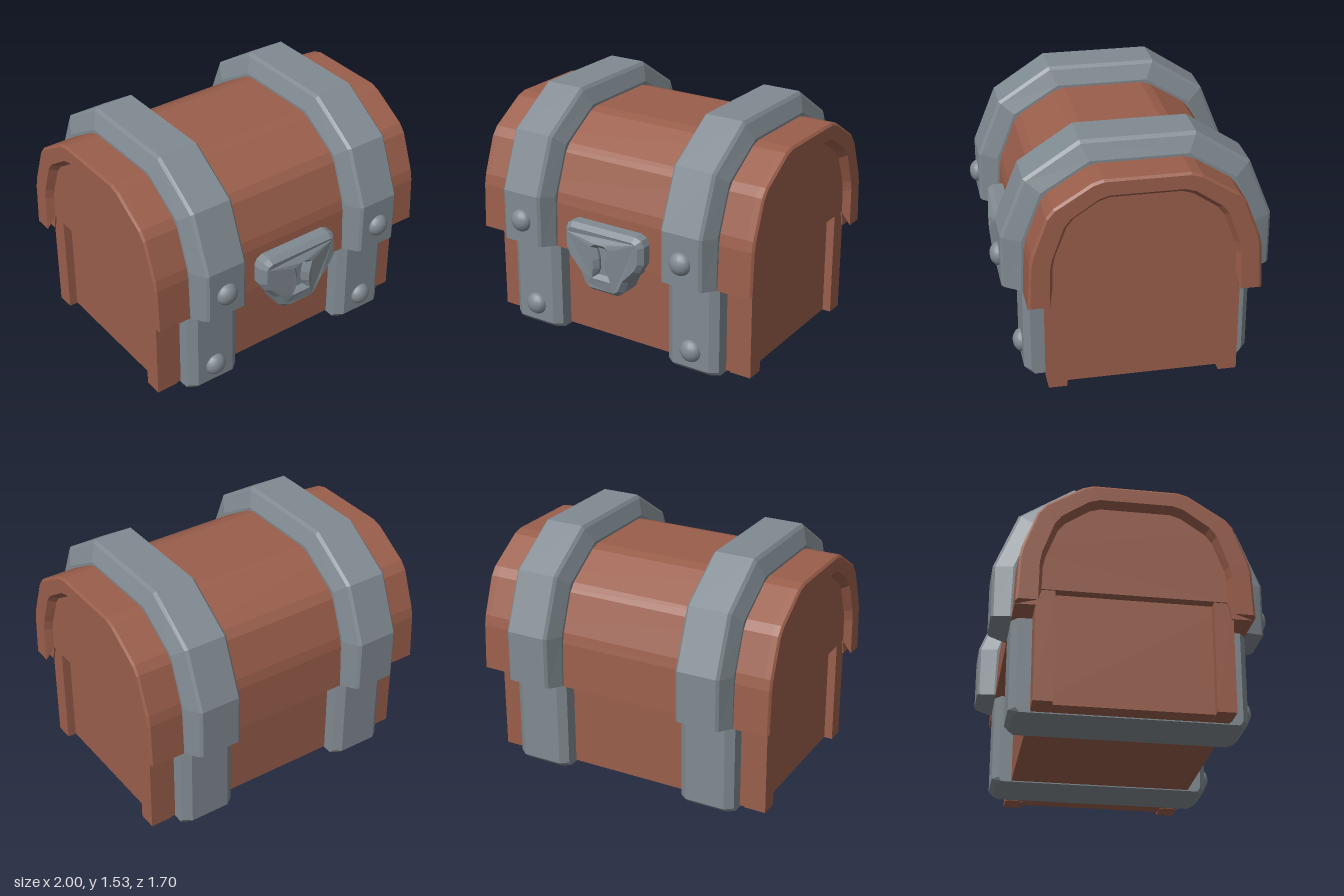
import * as THREE from 'three';

const wood = new THREE.MeshStandardMaterial({ color: 0x9a5e4b });
wood.name = 'wood';
const iron = new THREE.MeshStandardMaterial({ color: 0x808a91 });
iron.name = 'iron';

const MID = -0.025; // the chest sits slightly back because of the lock

// Mirror half an arch, given from the bottom upwards, into a full [z, y] profile
const arch = (half) => [
  ...half.map(([z, y]) => [MID + z, y]),
  ...half.slice().reverse().map(([z, y]) => [MID - z, y]),
];

// Cut every inner corner of a profile
function chamfer(points, d) {
  const out = [points[0]];
  for (let i = 1; i < points.length - 1; i++) {
    for (const q of [points[i - 1], points[i + 1]]) {
      const p = points[i];
      const k = d / Math.hypot(q[0] - p[0], q[1] - p[1]);
      out.push([p[0] + (q[0] - p[0]) * k, p[1] + (q[1] - p[1]) * k]);
    }
  }
  out.push(points[points.length - 1]);
  return out;
}

// Closed solid through equal-sized cross-sections, with flat faces facing outwards
function loft(sections) {
  const tris = [];
  const n = sections[0].length;
  for (let s = 0; s < sections.length - 1; s++) {
    for (let i = 0; i < n; i++) {
      const j = (i + 1) % n;
      const [a, b, c, d] = [sections[s][i], sections[s][j], sections[s + 1][j], sections[s + 1][i]];
      tris.push([a, b, c], [a, c, d]);
    }
  }
  const first = sections[0], last = sections[sections.length - 1];
  for (let i = 1; i < n - 1; i++) {
    tris.push([first[0], first[i + 1], first[i]], [last[0], last[i], last[i + 1]]);
  }
  let volume = 0;
  for (const [a, b, c] of tris) {
    volume += new THREE.Vector3(...a).dot(new THREE.Vector3(...b).cross(new THREE.Vector3(...c)));
  }
  if (volume < 0) tris.forEach((t) => t.reverse());
  const geo = new THREE.BufferGeometry();
  geo.setAttribute('position', new THREE.Float32BufferAttribute(tris.flat(2), 3));
  geo.computeVertexNormals();
  return geo;
}

// Loft whose cross-sections join several [x, profile] rails
const railLoft = (rails) =>
  loft(rails[0][1].map((_, i) => rails.map(([x, profile]) => [x, profile[i][1], profile[i][0]])));

export function createModel() {
  const chest = new THREE.Group();
  chest.name = 'chest';
  const add = (name, geometry, material, x = 0, y = 0, z = 0) => {
    const mesh = new THREE.Mesh(geometry, material);
    mesh.name = name;
    mesh.position.set(x, y, z);
    chest.add(mesh);
    return mesh;
  };
  const box = (name, x0, x1, y0, y1, z0, z1) =>
    add(name, new THREE.BoxGeometry(x1 - x0, y1 - y0, z1 - z0), wood,
      (x0 + x1) / 2, (y0 + y1) / 2, (z0 + z1) / 2);

  // Base box with raised corner posts
  box('base', -0.885, 0.885, 0.008, 0.7, -0.605, 0.555);
  for (const x of [-1, 1]) {
    for (const z of [-1, 1]) {
      const [zIn, zOut] = [MID + z * 0.47, MID + z * 0.585];
      box('cornerPost', Math.min(x * 0.8, x * 0.94), Math.max(x * 0.8, x * 0.94),
        0.005, 0.7, Math.min(zIn, zOut), Math.max(zIn, zOut));
    }
  }

  // Lid body, notched below to sit over the base
  const lidHalf = [[0.705, 0.595], [0.69, 0.92], [0.575, 1.22], [0.29, 1.4]];
  const lidProfile = chamfer(arch(lidHalf), 0.035);
  const notch = arch([[0.575, 0.595], [0.55, 0.7]]).reverse();
  const lidShape = new THREE.Shape([...lidProfile, ...notch].map(([z, y]) => new THREE.Vector2(-z, y)));
  const lidGeo = new THREE.ExtrudeGeometry(lidShape, { depth: 1.9, bevelEnabled: false });
  lidGeo.translate(0, 0, -0.95).rotateY(Math.PI / 2).scale(-1, 1, 1);
  // Undo the mirrored winding by turning instead: the solid is symmetric in x
  lidGeo.scale(-1, 1, 1);
  add('lid', lidGeo, wood);

  // Raised arched rims on both lid ends
  const rimEdge = chamfer(arch([[0.69, 0.605], [0.675, 0.915], [0.565, 1.21], [0.285, 1.385]]), 0.035);
  const rimInner = chamfer(arch([[0.575, 0.605], [0.57, 0.885], [0.475, 1.15], [0.255, 1.3]]), 0.035);
  const rimFoot = chamfer(arch([[0.55, 0.7], [0.545, 0.875], [0.45, 1.125], [0.245, 1.262]]), 0.035);
  for (const s of [-1, 1]) {
    add('lidRim', railLoft([
      [s * 0.945, lidProfile], [s * 0.988, lidProfile], [s, rimEdge], [s, rimInner], [s * 0.945, rimFoot],
    ]), wood);
  }

  // Iron straps: an arch over the lid and a U around the base
  const lidStrapIn = arch([[0.68, 0.597], [0.67, 0.92], [0.555, 1.205], [0.28, 1.38]]);
  const lidStrapMid = arch([[0.715, 0.6], [0.705, 0.93], [0.585, 1.235], [0.295, 1.415]]);
  const lidStrapBevel = arch([[0.81, 0.615], [0.81, 0.945], [0.665, 1.3], [0.34, 1.51]]);
  const lidStrapOut = arch([[0.825, 0.62], [0.825, 0.95], [0.68, 1.31], [0.345, 1.53]]);
  const baseIn = arch([[0.57, 0.597], [0.57, 0.04], [0.55, 0.02]]);
  const baseMid = arch([[0.665, 0.597], [0.665, 0.03], [0.645, 0.001]]);
  const baseOut = arch([[0.705, 0.597], [0.705, 0.03], [0.675, 0]]);
  for (const s of [-1, 1]) {
    const c = s * 0.588;
    add('lidStrap', railLoft([
      [c - 0.183, lidStrapIn], [c - 0.183, lidStrapMid], [c - 0.142, lidStrapBevel], [c - 0.125, lidStrapOut],
      [c + 0.125, lidStrapOut], [c + 0.142, lidStrapBevel], [c + 0.183, lidStrapMid], [c + 0.183, lidStrapIn],
    ]), iron);
    add('baseStrap', railLoft([
      [c - 0.18, baseIn], [c - 0.18, baseMid], [c - 0.13, baseOut],
      [c + 0.13, baseOut], [c + 0.18, baseMid], [c + 0.18, baseIn],
    ]), iron);
    // Domed rivets on the front
    for (const [y, z] of [[0.145, 0.675], [0.77, 0.795]]) {
      add('rivet', new THREE.SphereGeometry(0.073, 14, 10), iron, c, y, z).scale.z = 0.78;
    }
  }

  // Lock plate with a bevelled keyhole
  const mirrorX = (half) => [...half, ...half.slice().reverse().map(([x, y]) => [-x, y])]
    .map(([x, y]) => new THREE.Vector2(x, y));
  const plate = new THREE.Shape(mirrorX([
    [0.09, 0.43], [0.12, 0.452], [0.155, 0.53], [0.235, 0.615], [0.262, 0.665],
    [0.262, 0.765], [0.25, 0.79], [0.225, 0.802],
  ]));
  plate.holes.push(new THREE.Path(mirrorX([
    [0.07, 0.5], [0.05, 0.57], [0.05, 0.63], [0.07, 0.715], [0.03, 0.738],
  ])));
  const plateGeo = new THREE.ExtrudeGeometry(plate, {
    depth: 0.15, bevelThickness: 0.03, bevelSize: 0.028, bevelSegments: 1,
  });
  plateGeo.translate(0, 0, 0.61);
  // Swept-back sides and lower tip
  const pos = plateGeo.attributes.position;
  for (let i = 0; i < pos.count; i++) {
    if (pos.getZ(i) < 0.7) continue;
    const sweep = Math.max(0, Math.abs(pos.getX(i)) - 0.1) * 0.15 + Math.max(0, 0.6 - pos.getY(i)) * 0.12;
    pos.setZ(i, pos.getZ(i) - sweep);
  }
  plateGeo.computeVertexNormals();
  add('lockPlate', plateGeo, iron);
  add('keyholeFloor', new THREE.BoxGeometry(0.16, 0.27, 0.1), iron, 0, 0.62, 0.69);

  return chest;
}
